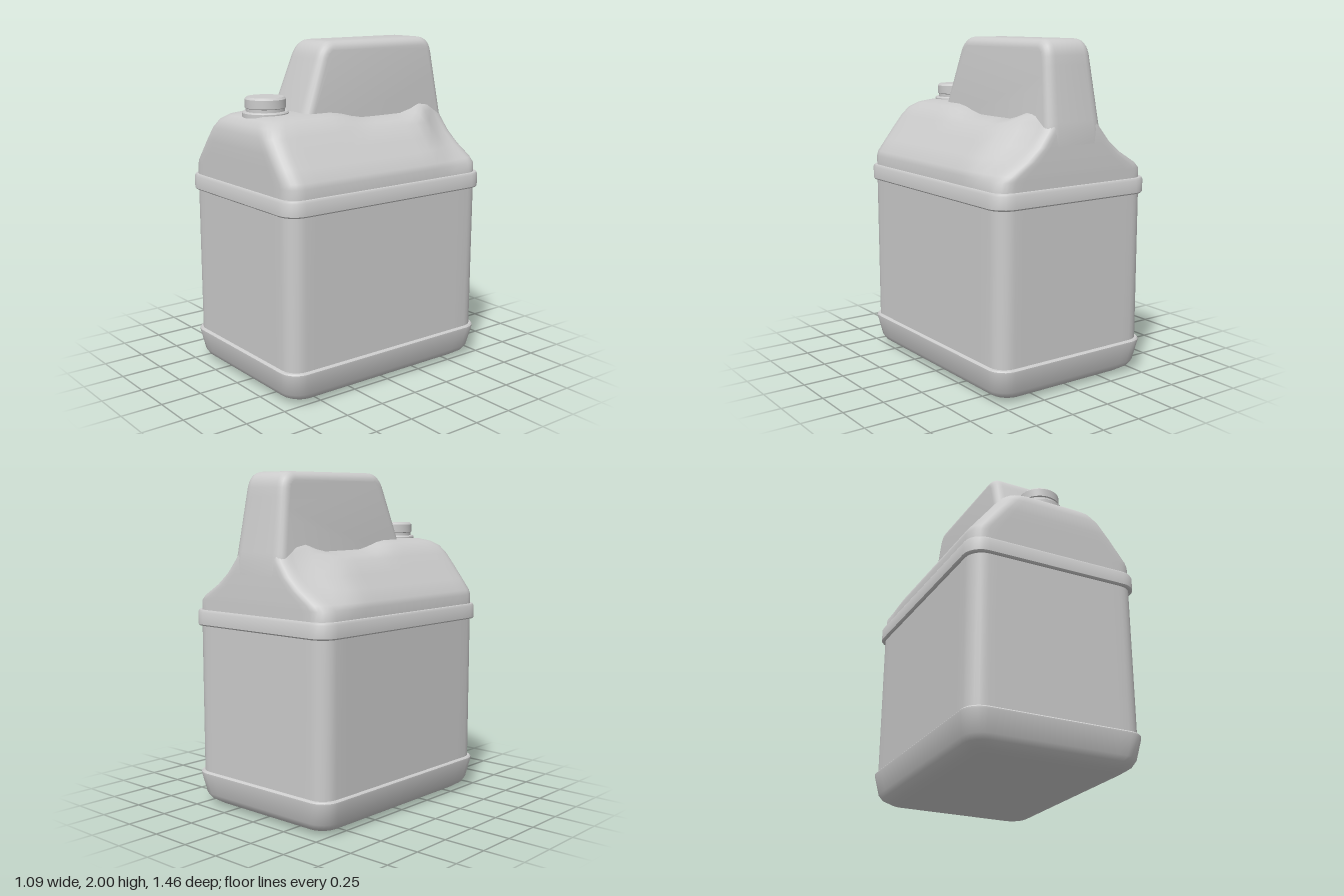
import * as THREE from 'three';
import { toCreasedNormals } from 'three/addons/utils/BufferGeometryUtils.js';

const material = new THREE.MeshStandardMaterial({ color: 0xcccccc });
const smooth = THREE.MathUtils.smoothstep;

// Rounded rectangle loop in the xz plane, sides subdivided so they can be bent
function roundedLoop(hx, zFront, zBack, radius) {
  const r = Math.min(radius, hx);
  const corners = [[hx - r, zFront - r], [hx - r, zBack + r], [r - hx, zBack + r], [r - hx, zFront - r]];
  const points = [];
  const arc = 6, side = 14;
  const at = (c, a) => [corners[c][0] + r * Math.sin(a), corners[c][1] + r * Math.cos(a)];
  for (let c = 0; c < 4; c++) {
    for (let i = 0; i <= arc; i++) points.push(at(c, (c + i / arc) * Math.PI / 2));
    const p = points[points.length - 1];
    const q = at((c + 1) % 4, (c + 1) * Math.PI / 2);
    for (let i = 1; i < side; i++) {
      const t = i / side;
      points.push([p[0] + (q[0] - p[0]) * t, p[1] + (q[1] - p[1]) * t]);
    }
  }
  return points;
}

// Loft through levels [y, halfWidth, zFront, zBack, cornerRadius, rearSqueeze]
function loft(name, levels, crease, warp) {
  const positions = [], index = [];
  let n = 0;
  for (const [y, hx, zf, zb, r, k = 1] of levels) {
    const loop = roundedLoop(hx, zf, zb, r);
    n = loop.length;
    for (const [x, z] of loop) positions.push(...(warp ? warp(x, y, z, k) : [x, y, z]));
  }
  for (let j = 0; j < levels.length - 1; j++) {
    for (let i = 0; i < n; i++) {
      const a = j * n + i, b = j * n + (i + 1) % n;
      index.push(a, b, b + n, a, b + n, a + n);
    }
  }
  const geometry = new THREE.BufferGeometry();
  geometry.setAttribute('position', new THREE.Float32BufferAttribute(positions, 3));
  geometry.setIndex(index);
  const mesh = new THREE.Mesh(toCreasedNormals(geometry, crease), material);
  mesh.name = name;
  return mesh;
}

// Level with equal front and back; depth follows the width
const level = (y, hx, r = 0.1) => [y, hx, hx + 0.185, -hx - 0.185, r];

function makeShoulder() {
  const levels = [
    [1.18, 0.525, 0.71, -0.71, 0.1, 1],
    [1.25, 0.525, 0.71, -0.71, 0.1, 0.99],
    [1.28, 0.515, 0.71, -0.71, 0.1, 0.95],
    [1.35, 0.46, 0.71, -0.707, 0.1, 0.81],
    [1.42, 0.405, 0.71, -0.705, 0.1, 0.7],
    [1.5, 0.343, 0.705, -0.7, 0.1, 0.63],
    [1.55, 0.3, 0.685, -0.692, 0.1, 0.63],
    [1.58, 0.25, 0.65, -0.68, 0.1, 0.7],
    [1.595, 0.2, 0.6, -0.67, 0.1, 0.8],
    [1.6, 0.1, 0.52, -0.66, 0.05, 1],
    [1.6, 0, 0.46, -0.65, 0, 1],
  ];
  // Pinch the rear in toward the handle and dip the top under the grip
  return loft('shoulder', levels, 0.9, (x, y, z, k) => {
    const rear = 1 - smooth(z, -0.64, -0.36);
    const dip = smooth(z, -0.5, -0.36) * (1 - smooth(z, -0.06, 0.2));
    const high = Math.max(0, (y - 1.5) / 0.1);
    return [x * (1 - rear * (1 - k)), y - 0.05 * dip * high, z];
  });
}

function makeHandle() {
  // Side outline: shape x runs along z
  const outline = new THREE.Shape();
  outline.moveTo(0.42, 1.42);
  outline.lineTo(0.36, 1.6);
  outline.lineTo(0.245, 1.9);
  outline.quadraticCurveTo(0.21, 2, 0.13, 2);
  outline.lineTo(-0.54, 2);
  outline.quadraticCurveTo(-0.62, 2, -0.638, 1.91);
  outline.quadraticCurveTo(-0.67, 1.7, -0.702, 1.5);
  outline.lineTo(-0.705, 1.42);
  outline.closePath();

  const grip = new THREE.Path();
  grip.moveTo(-0.04, 1.49);
  grip.lineTo(-0.38, 1.49);
  grip.lineTo(-0.37, 1.75);
  grip.quadraticCurveTo(-0.365, 1.79, -0.33, 1.79);
  grip.lineTo(-0.08, 1.79);
  grip.quadraticCurveTo(-0.04, 1.79, -0.04, 1.75);
  grip.closePath();
  outline.holes.push(grip);

  const geometry = new THREE.ExtrudeGeometry(outline, {
    depth: 0.2, curveSegments: 8,
    bevelSize: 0.05, bevelThickness: 0.055, bevelOffset: -0.05, bevelSegments: 5,
  });
  geometry.translate(0, 0, -0.1);
  geometry.rotateY(-Math.PI / 2);
  // Widen toward the base
  const p = geometry.attributes.position;
  for (let i = 0; i < p.count; i++) p.setX(i, p.getX(i) * (1 + (2 - p.getY(i)) * 0.5));
  const mesh = new THREE.Mesh(toCreasedNormals(geometry, 0.8), material);
  mesh.name = 'handle';
  return mesh;
}

function makeCap() {
  const profile = [
    [0.135, 1.55], [0.135, 1.605], [0.128, 1.613], [0.113, 1.613], [0.113, 1.63],
    [0.119, 1.634], [0.119, 1.683], [0.107, 1.695], [0, 1.695],
  ].map(([r, y]) => new THREE.Vector2(r, y));
  const mesh = new THREE.Mesh(toCreasedNormals(new THREE.LatheGeometry(profile, 36), 0.6), material);
  mesh.name = 'cap';
  mesh.position.z = 0.515;
  return mesh;
}

export function createModel() {
  const group = new THREE.Group();
  group.name = 'jug';
  group.add(
    loft('base', [
      [0, 0, 0.2, -0.2, 0], level(0, 0.41), level(0.012, 0.46), level(0.04, 0.503, 0.11), level(0.07, 0.52, 0.11),
      level(0.19, 0.543, 0.11), level(0.2, 0.543, 0.11), level(0.208, 0.535), level(0.21, 0.515),
    ], 0.7),
    loft('wall', [level(0.2, 0.525), level(1.19, 0.525)], 0.7),
    loft('rim', [
      level(1.1, 0.515), level(1.1, 0.537), level(1.108, 0.545, 0.11),
      level(1.18, 0.545, 0.11), level(1.193, 0.537), level(1.196, 0.515),
    ], 0.7),
    makeShoulder(),
    makeHandle(),
    makeCap(),
  );
  return group;
}
